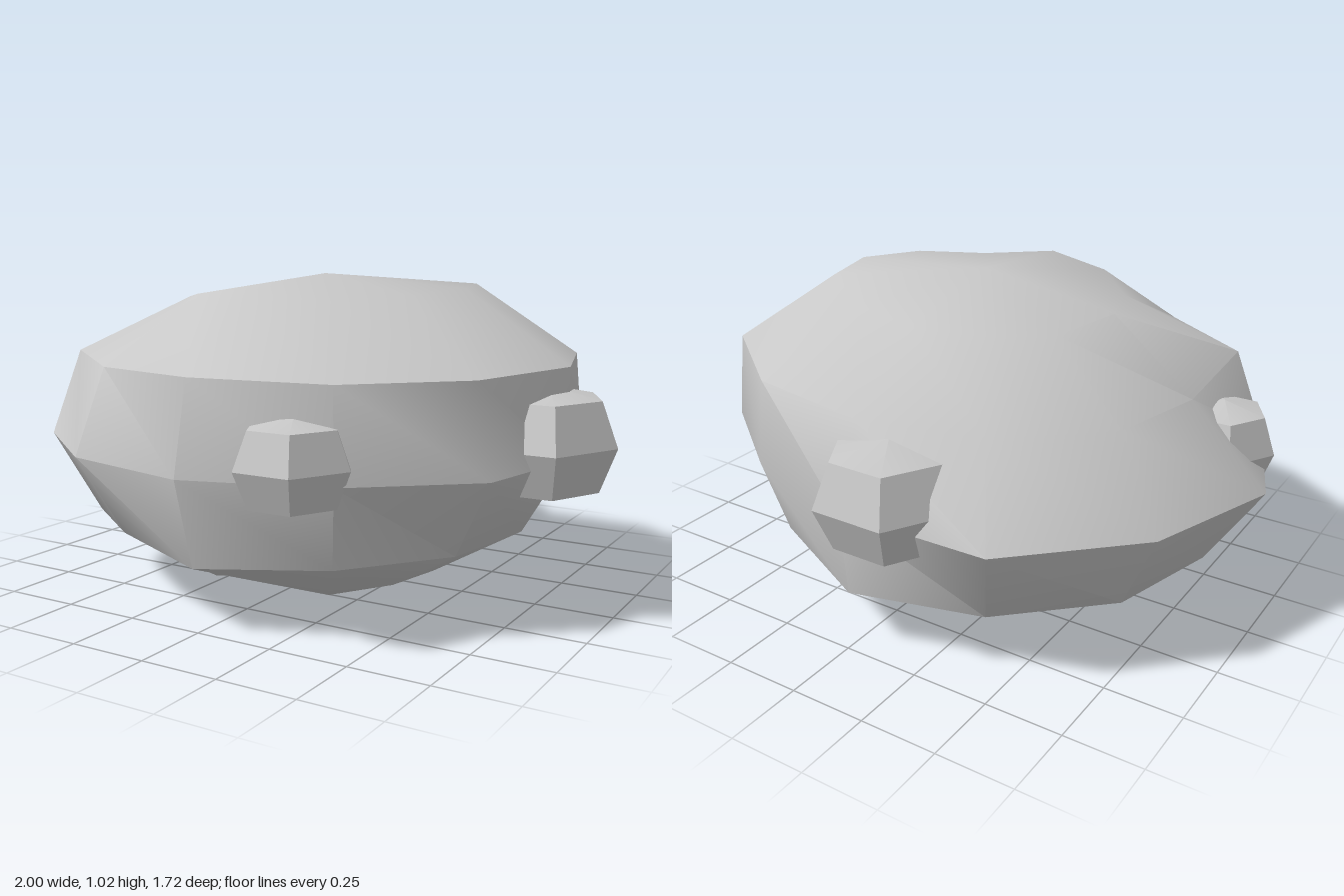
import * as THREE from 'three';
import { toCreasedNormals } from 'three/addons/utils/BufferGeometryUtils.js';

const SEGMENTS = 12;
const CENTER = [0, 0.475, 0.03];
const SQUASH = [1, 0.58, 0.9];
const TOP = 0.94, BOTTOM = 0.79;

// Radial bumpiness, one row per ring from top to bottom;
// columns step 30 degrees from +x towards +z.
const RINGS = [
  [1.01, 0.98, 0.95, 1.0, 0.97, 0.93, 0.94, 0.88, 0.91, 0.92, 0.95, 1.02],
  [0.98, 0.95, 0.94, 0.965, 0.94, 0.985, 0.86, 0.91, 0.90, 0.88, 0.95, 0.985],
  [0.85, 0.89, 0.87, 0.905, 0.92, 0.96, 1.00, 0.98, 1.00, 0.88, 0.85, 0.88],
  [0.82, 0.85, 0.89, 0.95, 0.88, 0.92, 0.95, 0.96, 0.97, 0.98, 0.88, 0.84],
  [0.82, 0.83, 0.86, 0.80, 0.87, 0.91, 0.945, 0.94, 0.93, 0.90, 0.86, 0.83],
];

// Squashed low-poly sphere with every vertex pushed in or out
function bodyGeometry() {
  const positions = [];
  const index = [];
  const add = (scale, x, y, z) =>
    positions.push(...[x, y, z].map((v, k) => CENTER[k] + v * scale * SQUASH[k]));

  RINGS.forEach((row, r) => {
    const theta = ((r + 1) * Math.PI) / 6;
    row.forEach((scale, i) => {
      const phi = (i * Math.PI * 2) / SEGMENTS;
      add(scale, Math.sin(theta) * Math.cos(phi), Math.cos(theta), Math.sin(theta) * Math.sin(phi));
    });
  });
  const top = RINGS.length * SEGMENTS;
  const bottom = top + 1;
  add(TOP, 0, 1, 0);
  add(BOTTOM, 0, -1, 0);

  for (let i = 0; i < SEGMENTS; i++) {
    const j = (i + 1) % SEGMENTS;
    const last = (RINGS.length - 1) * SEGMENTS;
    index.push(top, j, i, bottom, last + i, last + j);
    for (let r = 0; r < RINGS.length - 1; r++) {
      const a = r * SEGMENTS + i, b = r * SEGMENTS + j;
      const c = a + SEGMENTS, d = b + SEGMENTS;
      index.push(a, b, c, b, d, c);
    }
  }
  const geometry = new THREE.BufferGeometry();
  geometry.setAttribute('position', new THREE.Float32BufferAttribute(positions, 3));
  geometry.setIndex(index);
  return toCreasedNormals(geometry, THREE.MathUtils.degToRad(39));
}

// Six-sided faceted lump: rings slightly swollen, poles slightly flattened
function lumpGeometry([rx, ry, rz]) {
  const geometry = new THREE.SphereGeometry(1, 6, 4);
  const p = geometry.attributes.position;
  for (let i = 0; i < p.count; i++) {
    const y = Math.abs(p.getY(i));
    const swell = y > 0.1 ? 1.08 : 1;
    const flatten = y > 0.9 ? 0.9 : 1;
    p.setXYZ(i, p.getX(i) * rx * swell, p.getY(i) * ry * flatten, p.getZ(i) * rz * swell);
  }
  return toCreasedNormals(geometry, 0.35);
}

export function createModel() {
  const group = new THREE.Group();
  const stone = new THREE.MeshStandardMaterial({ color: 0xc8c8c8 });
  stone.name = 'paleStone';

  const body = new THREE.Mesh(bodyGeometry(), stone);
  body.name = 'rockBody';
  group.add(body);

  // Lumps half sunk into the sides: name, centre, radii
  const lumps = [
    ['leftLump', [0.78, 0.525, 0.025], [0.22, 0.195, 0.26]],
    ['backLump', [-0.11, 0.525, -0.65], [0.24, 0.195, 0.245]],
    ['frontLump', [0.295, 0.52, 0.685], [0.18, 0.155, 0.195]],
    ['rightLump', [-0.785, 0.525, 0.2], [0.175, 0.165, 0.175]],
  ];
  for (const [name, center, radii] of lumps) {
    const lump = new THREE.Mesh(lumpGeometry(radii), stone);
    lump.name = name;
    lump.position.set(...center);
    group.add(lump);
  }
  return group;
}
